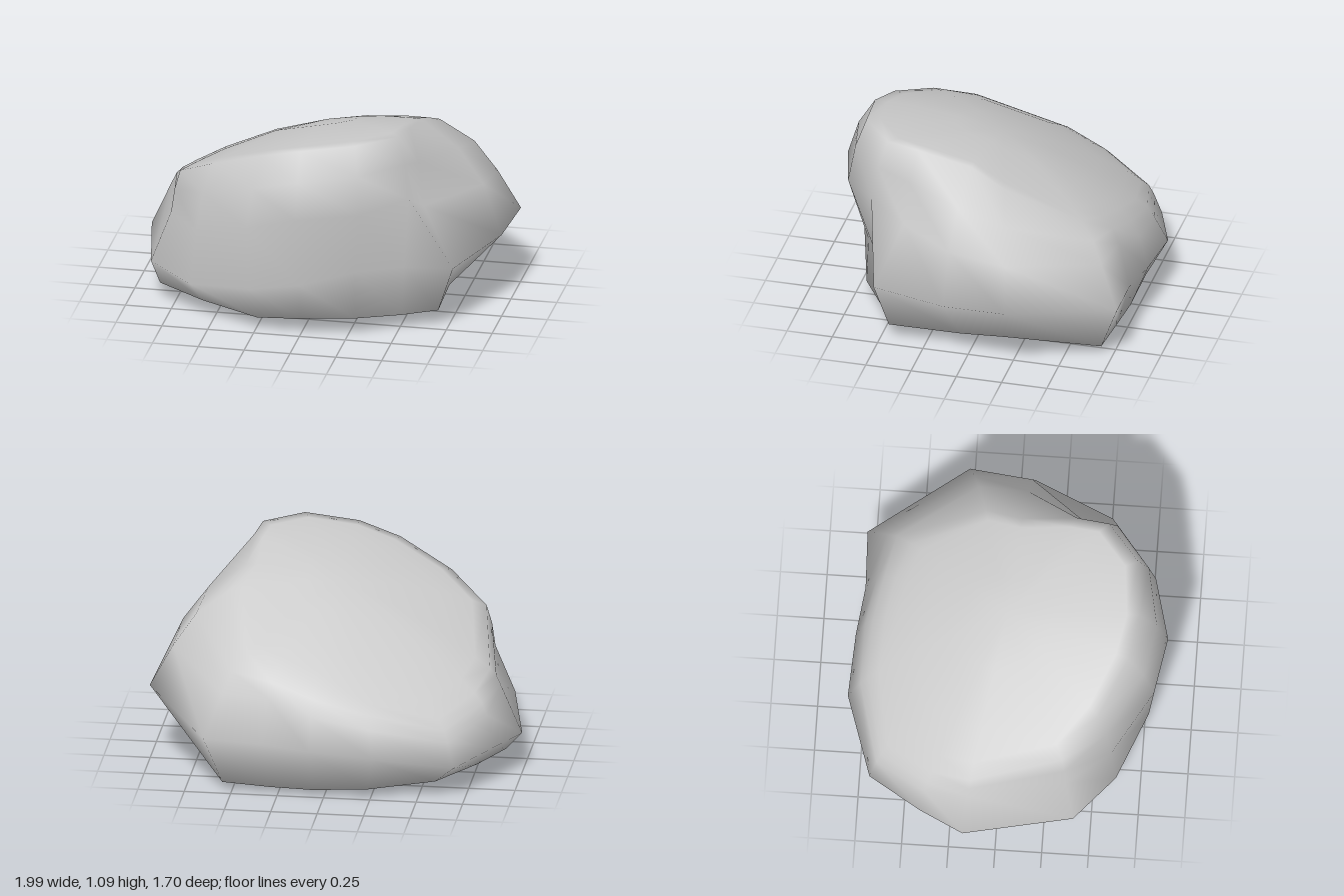
import * as THREE from 'three';

// One row per vertical rib: angle (from +x towards +z), then
// rim radius, shoulder radius/height, girdle radius/height, foot radius/height
const RIBS = [
  [5, 0.52, 0.87, 0.68, 0.97, 0.40, 0.68, 0.08],
  [33, 0.62, 0.72, 0.66, 0.94, 0.36, 0.83, 0.09],
  [46, 0.71, 0.81, 0.77, 0.76, 0.36, 0.74, 0.08],
  [67, 0.74, 0.84, 0.73, 0.73, 0.36, 0.74, 0.10],
  [90, 0.71, 0.86, 0.71, 0.77, 0.30, 0.72, 0.09],
  [109, 0.70, 0.85, 0.62, 0.82, 0.26, 0.74, 0.07],
  [135, 0.74, 0.84, 0.50, 0.88, 0.20, 0.80, 0.09],
  [155, 0.81, 0.86, 0.50, 0.97, 0.23, 0.92, 0.10],
  [190, 0.83, 0.89, 0.47, 1.01, 0.21, 0.92, 0.11],
  [205, 0.84, 0.92, 0.38, 0.97, 0.21, 0.86, 0.09],
  [225, 0.85, 0.93, 0.31, 0.98, 0.18, 0.82, 0.06],
  [252, 0.71, 0.81, 0.40, 0.88, 0.26, 0.76, 0.05],
  [275, 0.66, 0.77, 0.46, 0.82, 0.28, 0.72, 0.03],
  [293, 0.67, 0.78, 0.54, 0.85, 0.30, 0.76, 0.03],
  [309, 0.70, 0.88, 0.54, 1.02, 0.32, 0.88, 0.04],
  [345, 0.60, 0.91, 0.64, 1.035, 0.42, 0.66, 0.07],
];

// Domed upper face: highest at the front left, falling away to the back right
function topHeight(x, z) {
  return 1.05 + 0.22 * x - 0.25 * x * x - 0.235 * Math.abs(0.67 - z) ** 2.3;
}

function createBoulderGeometry() {
  const n = RIBS.length;
  const { lerp, degToRad } = THREE.MathUtils;
  const positions = [];
  const index = [];

  // Points of one rib, from the upper face down to the underside
  function ribPoints([degrees, rim, shoulder, shoulderY, girdle, girdleY, foot, footY]) {
    const cos = Math.cos(degToRad(degrees));
    const sin = Math.sin(degToRad(degrees));
    const onTop = (r) => [r, topHeight(r * cos, r * sin)];
    const rimY = onTop(rim)[1];
    return [
      onTop(rim * 0.35),
      onTop(rim * 0.7),
      onTop(rim * 0.9),
      onTop(rim),
      [lerp(rim, shoulder, 0.6), lerp(rimY, shoulderY, 0.43)],
      [shoulder, shoulderY],
      [girdle, girdleY],
      [foot, footY],
      [foot * 0.68, footY * 0.2],
    ].map(([r, y]) => [r * cos, y, r * sin]);
  }

  const ribs = RIBS.map(ribPoints);
  const rings = ribs[0].length;
  positions.push(0, topHeight(0, 0), 0);
  for (let i = 0; i < rings; i++) {
    for (const rib of ribs) positions.push(...rib[i]);
  }
  positions.push(0, 0, 0);

  // Skin between the sections, closed by a fan at each end
  const at = (i, j) => 1 + i * n + (j % n);
  const last = rings - 1;
  const bottom = 1 + rings * n;
  for (let j = 0; j < n; j++) {
    index.push(0, at(0, j + 1), at(0, j));
    for (let i = 0; i < last; i++) {
      index.push(at(i, j), at(i, j + 1), at(i + 1, j));
      index.push(at(i, j + 1), at(i + 1, j + 1), at(i + 1, j));
    }
    index.push(bottom, at(last, j), at(last, j + 1));
  }

  const geometry = new THREE.BufferGeometry();
  geometry.setAttribute('position', new THREE.Float32BufferAttribute(positions, 3));
  geometry.setIndex(index);
  geometry.computeVertexNormals();
  return geometry;
}

export function createModel() {
  const group = new THREE.Group();
  group.name = 'rock';
  const boulder = new THREE.Mesh(
    createBoulderGeometry(),
    new THREE.MeshStandardMaterial({ color: 0xcccccc })
  );
  boulder.name = 'boulder';
  group.add(boulder);
  return group;
}
